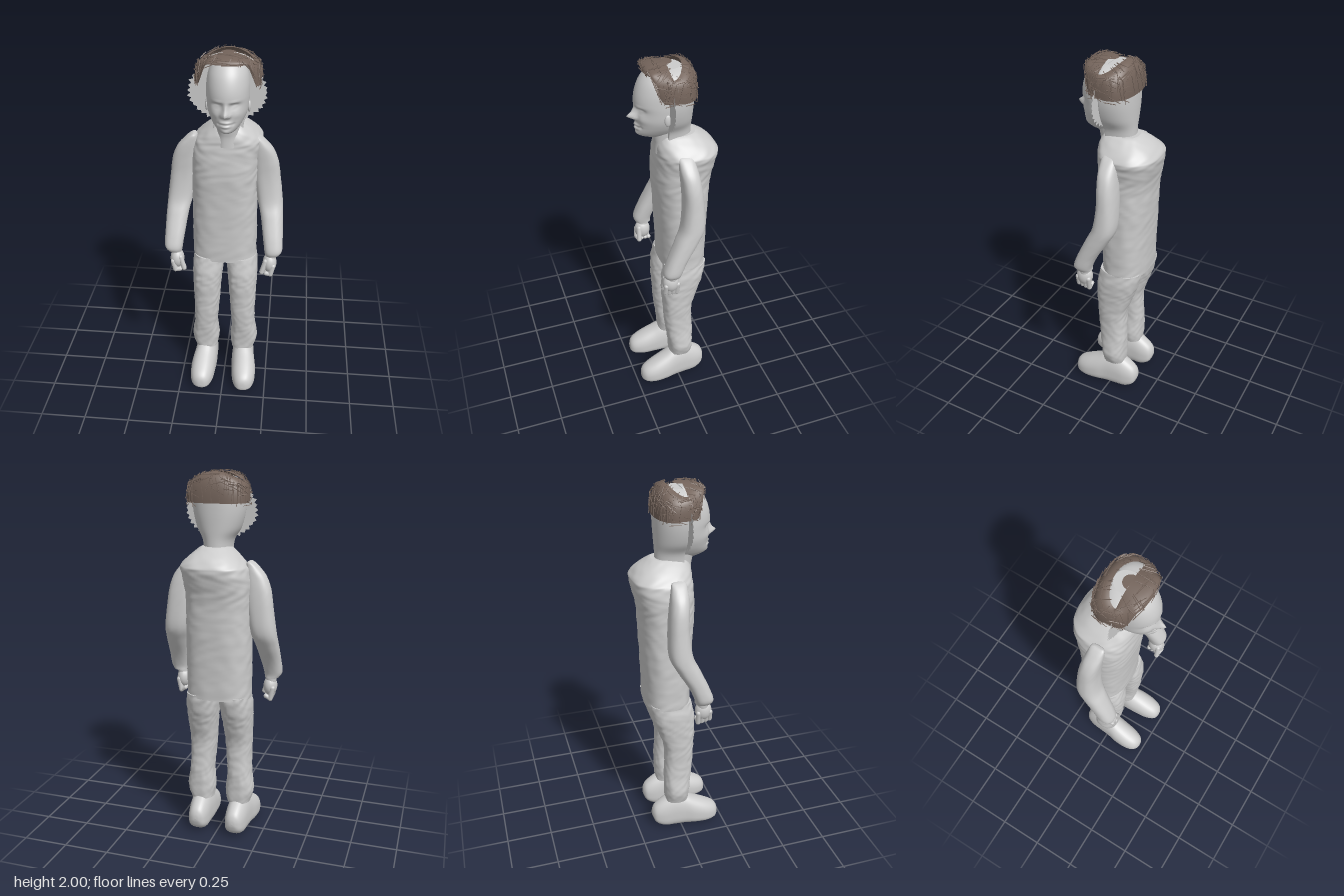
import * as THREE from 'three';
import { mergeGeometries } from 'three/addons/utils/BufferGeometryUtils.js';

const grey = new THREE.MeshStandardMaterial({ color: 0xcccccc, side: THREE.DoubleSide });
grey.name = 'plain grey';
const brown = new THREE.MeshStandardMaterial({ color: 0x74645b, side: THREE.DoubleSide });
brown.name = 'hair brown';

const V = (x, y, z) => new THREE.Vector3(x, y, z);
const signedPow = (v, p) => Math.sign(v) * Math.abs(v) ** p;

let seed = 7;
const rand = () => (seed = (seed * 16807) % 2147483647) / 2147483647;

// Smoothly interpolate rows of numbers into n + 1 rows
function resample(rows, n) {
  const at = i => rows[Math.min(rows.length - 1, Math.max(0, i))];
  return Array.from({ length: n + 1 }, (_, k) => {
    const f = (k / n) * (rows.length - 1);
    const i = Math.min(rows.length - 2, Math.floor(f)), t = f - i;
    return at(i).map((b, c) => {
      const a = at(i - 1)[c], d = at(i + 1)[c], e = at(i + 2)[c];
      return 0.5 * (2 * b + (d - a) * t + (2 * a - 5 * b + 4 * d - e) * t * t + (3 * b - a - 3 * d + e) * t ** 3);
    });
  });
}

// Skin a list of closed rings, with optional flat end caps
function loft(rings, caps = true) {
  const n = rings[0].length, pts = rings.flat(), index = [];
  for (let i = 0; i < rings.length - 1; i++) for (let j = 0; j < n; j++) {
    const a = i * n + j, b = i * n + (j + 1) % n;
    index.push(a, a + n, b, b, a + n, b + n);
  }
  if (caps) [rings[0], rings[rings.length - 1]].forEach((ring, end) => {
    const base = pts.length;
    const mid = ring.reduce((s, p) => s.add(p), V(0, 0, 0)).divideScalar(n);
    pts.push(...ring, mid);
    for (let j = 0; j < n; j++) {
      const a = base + j, b = base + (j + 1) % n;
      index.push(base + n, end ? b : a, end ? a : b);
    }
  });
  const g = new THREE.BufferGeometry().setFromPoints(pts);
  g.setIndex(index);
  g.computeVertexNormals();
  return g;
}

// Irregular cloth folds, periodic around the angle t
const folds = (y, t) => Math.sin(61 * y + 2 * Math.sin(3 * t + 9 * y)) * Math.sin(5 * t + 2.5 * Math.sin(23 * y))
  + 0.6 * Math.sin(9 * t + 3 * Math.sin(37 * y)) * Math.sin(97 * y + 2 * Math.sin(2 * t));

// Rows are [y, x0, x1, z0, z1]; bump adds folds, warp edits each point
function body(rows, { power = 2.4, n = 40, steps = 40, bump = 0, warp } = {}) {
  return loft(resample(rows, steps).map(([y, x0, x1, z0, z1]) =>
    Array.from({ length: n }, (_, j) => {
      const t = (j / n) * Math.PI * 2, fold = 1 + bump * folds(y, t);
      const p = V((x0 + x1) / 2 + (x1 - x0) / 2 * fold * signedPow(Math.cos(t), 2 / power), y,
        (z0 + z1) / 2 + (z1 - z0) / 2 * fold * signedPow(Math.sin(t), 2 / power));
      if (warp) warp(p);
      return p;
    })));
}
const side = (rows, s) => rows.map(([y, a, b, c, d]) => s > 0 ? [y, a, b, c, d] : [y, -b, -a, c, d]);

// Place a geometry built along y between two points
function between(g, a, b) {
  const d = b.clone().sub(a).normalize();
  g.applyQuaternion(new THREE.Quaternion().setFromUnitVectors(V(0, 1, 0), d));
  return g.translate((a.x + b.x) / 2, (a.y + b.y) / 2, (a.z + b.z) / 2);
}
const finger = (a, b, r) => between(new THREE.CapsuleGeometry(r, a.distanceTo(b), 5, 10), a, b);

// Face: half-ellipse slices with gaussian modelling for the features
function faceGeometry() {
  const rows = [[1.612, .03, .115], [1.63, .05, .165], [1.65, .066, .182], [1.68, .084, .183], [1.72, .099, .183],
    [1.77, .105, .183], [1.81, .106, .191], [1.86, .104, .184], [1.91, .094, .165], [1.95, .073, .135], [1.975, .045, .1]];
  const features = [[0, 1.737, .017, .015, .04], [0, 1.762, .013, .024, .02], [0, 1.691, .027, .006, .01],
    [0, 1.673, .022, .007, .01], [0, 1.683, .034, .003, -.007], [0, 1.644, .022, .012, .006]];
  for (const s of [-1, 1]) features.push([s * .043, 1.776, .022, .013, -.016], [s * .043, 1.773, .015, .007, .01],
    [s * .04, 1.797, .024, .006, .005], [s * .018, 1.729, .008, .008, .012], [s * .055, 1.73, .025, .02, .006],
    [s * .037, 1.685, .006, .01, -.005]);
  const n = 96;
  return loft(resample(rows, 64).map(([y, hw, zf]) => Array.from({ length: n }, (_, j) => {
    const t = (j / n) * Math.PI * 2, x = hw * Math.cos(t), s = Math.sin(t);
    let z = s > 0 ? .04 + (zf - .04) * s ** .85 : .035;
    if (s > 0) for (const [fx, fy, sx, sy, amp] of features)
      z += amp * Math.exp(-(((x - fx) / sx) ** 2) - ((y - fy) / sy) ** 2);
    return V(x + .021, y, z);
  })));
}

// Hair surface: angle t around the head, h from hem (0) to crown opening (1)
function hairPoint(t, h, out = 0) {
  const c = Math.cos(t), s = Math.sin(t), front = s > 0;
  const hem = front ? 1.962 - .118 * THREE.MathUtils.smoothstep(Math.abs(c), .5, .9) : 1.84;
  const crown = 1.994 - .045 * c * c;
  const ox = .02 + (.163 + out) * signedPow(c, .85), oz = ((front ? .147 : .106) + out) * signedPow(s, .8);
  const hx = .026 + .125 * c, hz = front ? .04 : .04 + .075 * s;
  const k = Math.max(0, h) ** 2.3;
  const y = hem + (crown - hem) * Math.sin(h * Math.PI / 2) + out;
  return V(ox + (hx - ox) * k, Math.min(1.997, y), oz + (hz - oz) * k);
}

export function createModel() {
  const model = new THREE.Group();
  model.name = 'standingFigure';
  const add = (name, g, mat = grey, parent = model) => {
    const m = new THREE.Mesh(g, mat);
    m.name = name;
    parent.add(m);
  };

  // Tunic and neck
  add('tunic', body([[.815, -.178, .172, -.175, .07], [1, -.178, .172, -.18, .075], [1.2, -.176, .172, -.188, .085],
    [1.35, -.175, .173, -.196, .095], [1.45, -.174, .182, -.215, .093], [1.51, -.162, .192, -.226, .09],
    [1.535, -.146, .188, -.22, .088], [1.575, -.105, .15, -.185, .085], [1.61, -.06, .11, -.135, .07],
    [1.62, -.045, .095, -.115, .06]], { power: 2.5, n: 72, steps: 90, bump: .012 }));
  add('neck', body([[1.52, -.045, .087, -.09, .096], [1.57, -.042, .084, -.09, .095], [1.6, -.04, .082, -.09, .1],
    [1.65, -.042, .084, -.08, .11]], { steps: 10 }));

  // Limbs, mirrored about the middle
  const arm = [[.9, .225, .302, .035, .122], [.93, .221, .318, .03, .13], [1, .21, .317, 0, .105],
    [1.1, .193, .313, -.06, .06], [1.18, .172, .307, -.096, .025], [1.3, .152, .292, -.096, .01],
    [1.4, .142, .277, -.087, .012], [1.47, .14, .25, -.076, .016], [1.52, .14, .208, -.066, .016],
    [1.543, .145, .18, -.06, .012], [1.55, .158, .164, -.045, 0]];
  const leg = [[.18, .042, .172, -.085, .045], [.25, .034, .19, -.088, .05], [.35, .042, .178, -.09, .062],
    [.45, .035, .174, -.085, .072], [.55, .028, .176, -.09, .078], [.65, .02, .18, -.12, .083],
    [.75, .01, .182, -.153, .08], [.83, .01, .172, -.166, .066]];
  const foot = [[.227, .122, .003, .038, .042], [.222, .122, .026, .02, .08], [.2, .124, .05, .008, .108],
    [.15, .123, .066, 0, .137], [.08, .119, .07, 0, .172], [.02, .112, .067, 0, .205], [-.04, .11, .063, 0, .212],
    [-.1, .108, .058, .004, .182], [-.145, .107, .044, .03, .148], [-.162, .107, .022, .065, .118], [-.166, .107, .003, .088, .092]];
  for (const s of [-1, 1]) {
    const label = s > 0 ? 'left' : 'right';
    add(label + 'Sleeve', body(side(arm, s), { steps: 50, bump: .008 }));
    add(label + 'Trouser', body(side(leg, s), { steps: 70, n: 48, bump: .022 }));
    add(label + 'Shoe', loft(resample(foot, 50).map(([z, cx, hw, y0, y1]) => Array.from({ length: 36 }, (_, j) => {
      const t = (j / 36) * Math.PI * 2, v = Math.sin(t);
      return V(s * cx + hw * signedPow(Math.cos(t), .85) * (1 - .1 * v), (y0 + y1) / 2 + (y1 - y0) / 2 * signedPow(v, v < 0 ? .6 : .9), z);
    }))));

    // Half-closed hand
    const hand = new THREE.Group();
    hand.name = label + 'Hand';
    model.add(hand);
    add('wrist', between(new THREE.CylinderGeometry(.029, .031, .1, 16), V(s * .262, .95, .08), V(s * .255, .85, .082)), grey, hand);
    add('palm', new THREE.SphereGeometry(1, 20, 14).scale(.038, .056, .045).translate(s * .253, .845, .085), grey, hand);
    for (let i = 0; i < 4; i++) {
      const z = .053 + i * .021, knuckle = V(s * .272, .84, z), bend = V(s * .26, .778 + .004 * i, z + .002);
      add('finger', finger(knuckle, bend, .014), grey, hand);
      add('fingertip', finger(bend, V(s * .236, .792, z), .0125), grey, hand);
    }
    add('thumb', finger(V(s * .232, .865, .11), V(s * .213, .8, .115), .014), grey, hand);
  }

  // Head: sculpted face, back of skull, ears and the ragged flat sheet between them
  add('face', faceGeometry());
  add('skull', body([[1.58, -.052, .094, -.095, .13], [1.65, -.06, .102, -.095, .14], [1.71, -.095, .135, -.098, .16],
    [1.79, -.117, .157, -.102, .17], [1.87, -.122, .162, -.102, .17], [1.92, -.115, .157, -.09, .16],
    [1.945, -.1, .144, -.07, .14], [1.963, -.07, .115, -.05, .12], [1.972, -.035, .08, -.04, .11]],
    { power: 2.2, n: 56, warp: p => { p.z = Math.min(p.z, .04); } }));
  for (const s of [-1, 1])
    add('ear', new THREE.SphereGeometry(1, 14, 10).scale(.009, .03, .017).translate(.021 + s * .104, 1.735, .055));
  const ragged = Array.from({ length: 72 }, (_, i) => {
    const t = (i / 72) * Math.PI * 2, r = (i % 2 ? .93 : 1) + .05 * (rand() - .5);
    return new THREE.Vector2(.017 + .198 * r * Math.cos(t), 1.8 + .155 * r * Math.sin(t));
  });
  add('raggedSheet', new THREE.ShapeGeometry(new THREE.Shape(ragged)).translate(0, 0, .045));

  // Hair shell, crown tuft and loose strands
  const rings = Array.from({ length: 17 }, (_, i) =>
    Array.from({ length: 72 }, (_, j) => hairPoint((j / 72) * Math.PI * 2, i / 16)));
  add('hairCap', loft(rings, false), brown);
  add('crownTuft', new THREE.CircleGeometry(.037, 24, 0, Math.PI).rotateX(-Math.PI / 2).translate(.022, 1.993, .04), brown);
  const strands = [];
  for (let i = 0; i < 170; i++) {
    const t = rand() * Math.PI * 2, h = rand() * .9 - .1, along = rand() < .5;
    const a = hairPoint(t, h, .004);
    const b = along ? hairPoint(t + (rand() - .5) * .25, Math.min(1, h + .3 + rand() * .2), .007)
      : hairPoint(t + .2 + rand() * .25, Math.min(1, Math.max(-.1, h + (rand() - .5) * .3)), .007);
    strands.push(between(new THREE.BoxGeometry(.0025, a.distanceTo(b) + .012, .0025), a, b));
  }
  add('hairStrands', mergeGeometries(strands), brown);
  return model;
}
